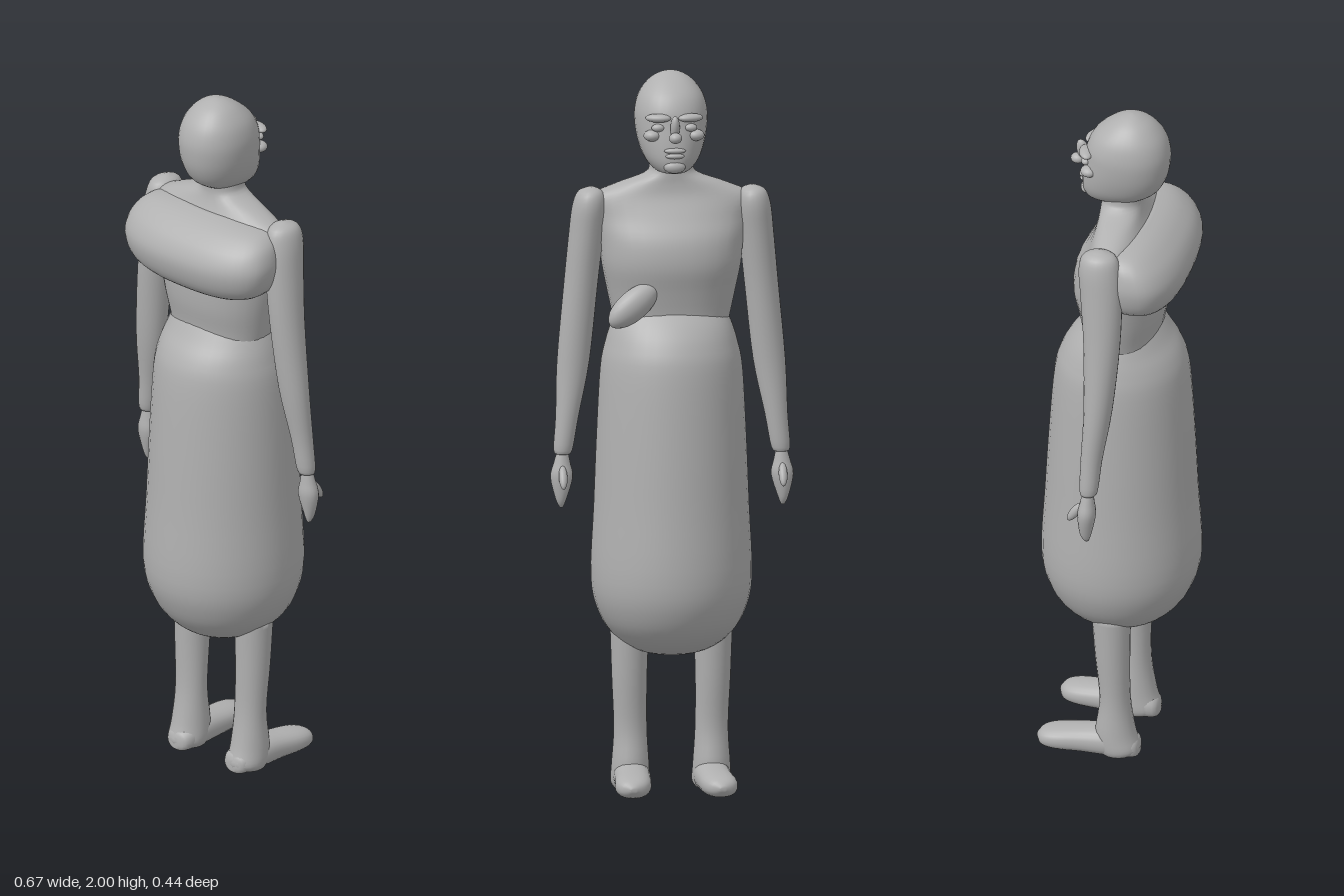
import * as THREE from 'three';

const clay = new THREE.MeshStandardMaterial({ color: 0xb0b0b0 });
clay.name = 'clay grey';

const spow = (v, p) => Math.sign(v) * Math.pow(Math.abs(v), p);

// Smooth closed body through rows of [y, centreX, halfWidth, zMin, zMax], listed from low to high.
function loft(rows, { power = 2, steps = 4, segs = 32 } = {}) {
  const columns = rows[0].map((_, c) => new THREE.SplineCurve(rows.map((r, i) => new THREE.Vector2(i, r[c]))));
  const count = (rows.length - 1) * steps;
  const pos = [], idx = [];
  for (let i = 0; i <= count; i++) {
    const [y, cx, rx, z0, z1] = columns.map(c => c.getPoint(i / count).y);
    for (let j = 0; j < segs; j++) {
      const a = j / segs * Math.PI * 2;
      pos.push(cx + Math.max(rx, 0) * spow(Math.cos(a), 2 / power), y,
        (z0 + z1) / 2 + (z1 - z0) / 2 * spow(Math.sin(a), 2 / power));
    }
  }
  for (let i = 0; i < count; i++) {
    for (let j = 0; j < segs; j++) {
      const k = (j + 1) % segs, a = i * segs + j, c = i * segs + k;
      idx.push(a, a + segs, c, a + segs, c + segs, c);
    }
  }
  // end caps
  const top = count * segs;
  for (let j = 1; j < segs - 1; j++) {
    idx.push(0, j, j + 1, top, top + j + 1, top + j);
  }
  const g = new THREE.BufferGeometry();
  g.setAttribute('position', new THREE.Float32BufferAttribute(pos, 3));
  g.setIndex(idx);
  g.computeVertexNormals();
  return g;
}

export function createModel() {
  const model = new THREE.Group();
  model.name = 'figure';

  const add = (name, geometry) => {
    const m = new THREE.Mesh(geometry, clay);
    m.name = name;
    model.add(m);
    return m;
  };
  const blob = (name, p, r, rot = [0, 0, 0]) => {
    const m = add(name, new THREE.SphereGeometry(1, 20, 14));
    m.position.set(...p);
    m.scale.set(...r);
    m.rotation.set(...rot);
    return m;
  };

  // Long rounded skirt
  add('skirt', loft([
    [0.38, 0, 0.01, -0.01, 0.01], [0.395, 0, 0.09, -0.09, 0.09], [0.435, 0, 0.155, -0.155, 0.15],
    [0.5, 0, 0.2, -0.2, 0.195], [0.6, 0, 0.222, -0.222, 0.22], [0.8, 0, 0.214, -0.212, 0.21],
    [1.0, 0, 0.206, -0.2, 0.2], [1.18, 0, 0.196, -0.185, 0.187], [1.25, 0, 0.183, -0.165, 0.168],
    [1.3, 0, 0.168, -0.135, 0.135], [1.34, 0, 0.15, -0.1, 0.11],
  ], { segs: 40 }));

  // Torso rising into the sloping shoulders and neck
  add('torso', loft([
    [1.27, 0, 0.15, -0.1, 0.11], [1.33, 0, 0.163, -0.1, 0.112], [1.4, 0, 0.178, -0.112, 0.125],
    [1.47, 0, 0.192, -0.126, 0.13], [1.54, 0, 0.2, -0.118, 0.13], [1.6, 0, 0.215, -0.088, 0.12],
    [1.655, 0, 0.225, -0.062, 0.085], [1.69, 0, 0.155, -0.055, 0.068], [1.72, 0, 0.073, -0.055, 0.06],
    [1.75, 0, 0.06, -0.055, 0.06], [1.79, 0, 0.06, -0.05, 0.06],
  ], { power: 2.2 }));

  // Padded roll across the upper back
  add('backRoll', loft([
    [1.455, 0, 0.08, 0.0, 0.1], [1.465, 0, 0.17, -0.01, 0.15], [1.5, 0, 0.232, -0.02, 0.187],
    [1.56, 0, 0.255, -0.03, 0.203], [1.61, 0, 0.25, -0.03, 0.185], [1.645, 0, 0.23, -0.03, 0.15],
    [1.665, 0, 0.19, -0.02, 0.115], [1.675, 0, 0.1, 0, 0.08],
  ], { power: 2.5, segs: 40 }));

  // Small slanted lump on the chest
  blob('chestLump', [0.115, 1.368, -0.108], [0.085, 0.042, 0.036], [0, 0.25, -0.65]);

  // Head, with its face towards -z
  add('head', loft([
    [1.728, 0, 0.02, -0.085, 0.0], [1.735, 0, 0.048, -0.1, 0.05], [1.765, 0, 0.075, -0.11, 0.1],
    [1.81, 0, 0.092, -0.108, 0.126], [1.86, 0, 0.1, -0.101, 0.135], [1.9, 0, 0.099, -0.095, 0.133],
    [1.94, 0, 0.087, -0.074, 0.118], [1.975, 0, 0.06, -0.035, 0.088], [1.994, 0, 0.03, 0, 0.055],
    [2.0, 0, 0.005, 0.025, 0.033],
  ], { power: 2.15 }));

  // Face
  blob('noseBridge', [0, 1.86, -0.11], [0.013, 0.035, 0.018], [-0.3, 0, 0]);
  blob('noseTip', [0, 1.834, -0.126], [0.018, 0.015, 0.02]);
  blob('upperLip', [0, 1.796, -0.107], [0.03, 0.008, 0.012]);
  blob('lowerLip', [0, 1.781, -0.106], [0.026, 0.008, 0.012]);
  blob('chin', [0, 1.75, -0.098], [0.03, 0.018, 0.018]);

  for (const s of [1, -1]) {
    const side = s > 0 ? 'left' : 'right';
    blob(side + 'Brow', [s * 0.045, 1.885, -0.09], [0.036, 0.012, 0.02], [0, s * -0.3, 0]);
    blob(side + 'Eye', [s * 0.045, 1.858, -0.09], [0.018, 0.011, 0.014]);
    blob(side + 'Cheek', [s * 0.06, 1.835, -0.078], [0.024, 0.016, 0.024]);

    // Arm from wrist to rounded shoulder
    add(side + 'Arm', loft([
      [0.945, s * 0.3, 0.012, -0.03, -0.005], [0.955, s * 0.3, 0.026, -0.04, 0.01],
      [1.05, s * 0.288, 0.032, -0.04, 0.02], [1.2, s * 0.27, 0.045, -0.036, 0.043],
      [1.4, s * 0.25, 0.047, -0.042, 0.06], [1.55, s * 0.235, 0.048, -0.055, 0.062],
      [1.63, s * 0.227, 0.047, -0.062, 0.055], [1.67, s * 0.224, 0.035, -0.05, 0.04],
      [1.684, s * 0.222, 0.008, -0.015, 0.005],
    ], { segs: 20 }));

    // Hand with a forward thumb
    add(side + 'Hand', loft([
      [0.797, s * 0.305, 0.005, -0.026, -0.014], [0.82, s * 0.306, 0.015, -0.038, -0.006],
      [0.88, s * 0.304, 0.031, -0.045, 0.006], [0.92, s * 0.303, 0.023, -0.038, 0.002],
      [0.96, s * 0.301, 0.013, -0.03, -0.003],
    ], { segs: 16 }));
    blob(side + 'Thumb', [s * 0.303, 0.884, -0.053], [0.012, 0.036, 0.013], [0.6, 0, 0]);

    // Leg
    add(side + 'Leg', loft([
      [0.01, s * 0.112, 0.045, -0.03, 0.065], [0.03, s * 0.112, 0.054, -0.04, 0.082],
      [0.08, s * 0.112, 0.052, -0.045, 0.068], [0.18, s * 0.112, 0.046, -0.033, 0.053],
      [0.32, s * 0.115, 0.049, -0.045, 0.052], [0.46, s * 0.115, 0.054, -0.055, 0.055],
    ], { segs: 20 }));

    // Foot lofted from heel to toe, then laid flat pointing to -z
    add(side + 'Foot', loft([
      [-0.08, s * 0.108, 0.015, 0.012, 0.04], [-0.065, s * 0.108, 0.04, 0.002, 0.065],
      [0.0, s * 0.11, 0.05, 0.001, 0.085], [0.08, s * 0.113, 0.05, 0.004, 0.079],
      [0.15, s * 0.119, 0.05, 0.006, 0.071], [0.19, s * 0.122, 0.037, 0.013, 0.06],
      [0.207, s * 0.123, 0.008, 0.03, 0.042],
    ], { power: 2.3, segs: 24 }).rotateX(-Math.PI / 2));
  }
  return model;
}
